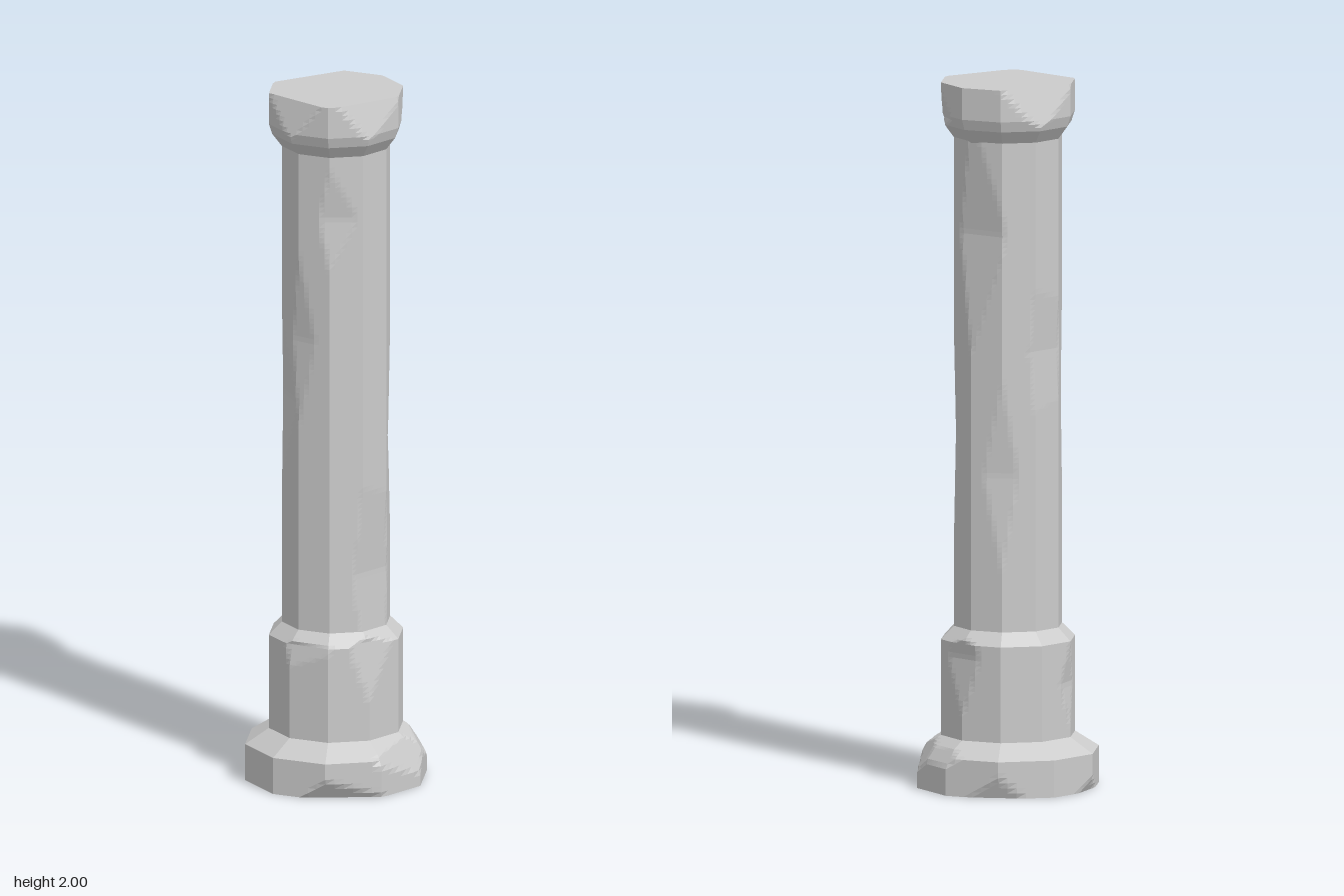
import * as THREE from 'three';

const SIDES = 10, SPLIT = 6, COUNT = SIDES * SPLIT, STEP = 0.015;

// A chip is [angle in degrees, height, distance of its floor from the axis, slope of its floor].
function chipScale(x, y, z, chips) {
  let scale = 1;
  for (const [angle, height, depth, slope] of chips) {
    const a = THREE.MathUtils.degToRad(angle);
    const reach = x * Math.cos(a) + z * Math.sin(a);
    const limit = depth + Math.abs(y - height) * slope;
    if (reach > limit) scale = Math.min(scale, limit / reach);
  }
  return scale;
}

// Splits the profile into short rows so that chips have crisp outlines.
function denseProfile(profile) {
  const rows = [profile[0]];
  for (let i = 1; i < profile.length; i++) {
    const [r0, y0] = profile[i - 1], [r1, y1] = profile[i];
    const n = Math.ceil(Math.hypot(r1 - r0, y1 - y0) / STEP);
    for (let k = 1; k <= n; k++) {
      rows.push([r0 + (r1 - r0) * k / n, y0 + (y1 - y0) * k / n]);
    }
  }
  return rows;
}

// Ten-sided prism following a [radius, height] profile, cut by the chips.
function chippedPrism(name, profile, chips, { top = false, bottom = false } = {}) {
  const rows = denseProfile(profile), points = [], index = [];
  for (const [r, y] of rows) {
    for (let i = 0; i < COUNT; i++) {
      const side = Math.floor(i / SPLIT), t = (i % SPLIT) / SPLIT;
      const a = side / SIDES * Math.PI * 2, b = (side + 1) / SIDES * Math.PI * 2;
      const x = r * THREE.MathUtils.lerp(Math.cos(a), Math.cos(b), t);
      const z = r * THREE.MathUtils.lerp(Math.sin(a), Math.sin(b), t);
      const s = chipScale(x, y, z, chips);
      points.push(x * s, y, z * s);
    }
  }
  for (let j = 0; j < rows.length - 1; j++) {
    for (let i = 0; i < COUNT; i++) {
      const a = j * COUNT + i, b = j * COUNT + (i + 1) % COUNT;
      index.push(a, a + COUNT, b, b, a + COUNT, b + COUNT);
    }
  }
  // Flat end faces
  const addCap = (row, up) => {
    const centre = points.length / 3;
    points.push(0, rows[row][1], 0);
    for (let i = 0; i < COUNT; i++) {
      const a = row * COUNT + i, b = row * COUNT + (i + 1) % COUNT;
      if (up) index.push(centre, b, a);
      else index.push(centre, a, b);
    }
  };
  if (top) addCap(rows.length - 1, true);
  if (bottom) addCap(0, false);

  const indexed = new THREE.BufferGeometry();
  indexed.setAttribute('position', new THREE.Float32BufferAttribute(points, 3));
  indexed.setIndex(index);
  const geometry = indexed.toNonIndexed();
  geometry.computeVertexNormals();
  const mesh = new THREE.Mesh(geometry,
    new THREE.MeshStandardMaterial({ color: 0xcccccc, flatShading: true }));
  mesh.name = name;
  return mesh;
}

export function createModel() {
  const group = new THREE.Group();
  group.name = 'column';

  // Wide foot with a sloping upper edge
  group.add(chippedPrism('base', [[0.26, 0], [0.26, 0.105], [0.19, 0.15]], [
    [100, 0, 0.225, 0.6],
    [45, 0.14, 0.205, 0.5],
    [5, 0.14, 0.205, 0.6],
    [-20, 0.15, 0.2, 0.7],
    [215, 0, 0.24, 0.5],
    [290, 0, 0.235, 0.4],
  ], { bottom: true }));

  // Drum between foot and shaft
  group.add(chippedPrism('drum', [[0.192, 0.1], [0.192, 0.42], [0.155, 0.457]], [
    [68, 0.43, 0.168, 0.14],
    [-32, 0.38, 0.172, 0.12],
    [130, 0.42, 0.174, 0.2],
    [215, 0.3, 0.178, 0.12],
  ]));

  // Tall shaft with long shallow dents
  group.add(chippedPrism('shaft', [[0.155, 0.4], [0.155, 1.86]], [
    [55, 0.62, 0.133, 0.06],
    [5, 1.0, 0.142, 0.045],
    [-42, 1.58, 0.13, 0.07],
    [100, 1.66, 0.139, 0.1],
    [172, 1.12, 0.139, 0.06],
    [235, 1.25, 0.138, 0.06],
    [290, 0.9, 0.139, 0.06],
    [140, 1.3, 0.142, 0.05],
  ]));

  // Capital, broken along its upper rim
  group.add(chippedPrism('capital', [[0.152, 1.84], [0.182, 1.88], [0.192, 1.91], [0.192, 2]], [
    [68, 2, 0.158, 0.3],
    [146, 2, 0.158, 0.3],
    [251, 2, 0.153, 0.3],
    [-5, 1.9, 0.176, 0.2],
  ], { top: true }));

  return group;
}
